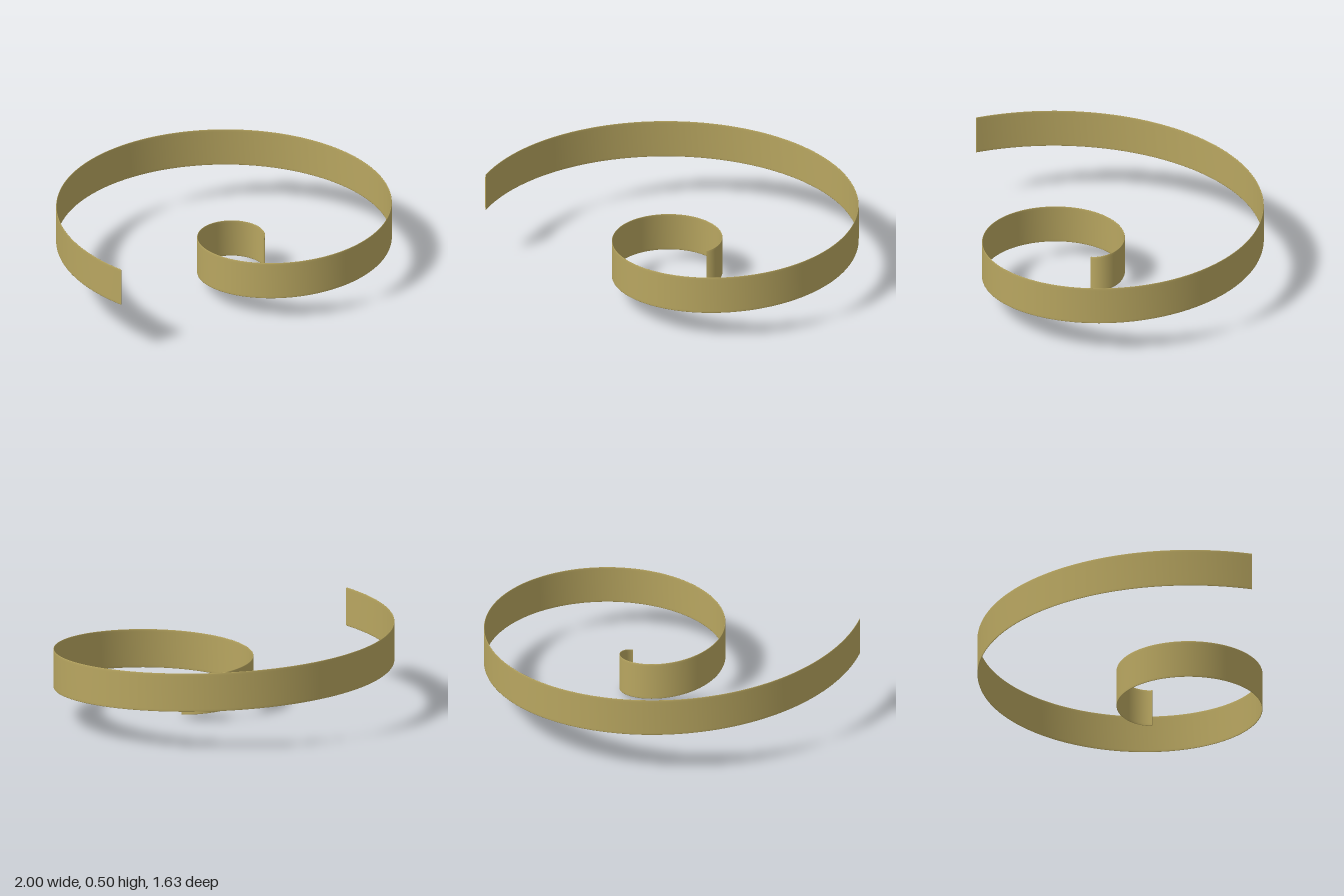
import * as THREE from 'three';

// Rising Archimedean spiral
const CENTER_X = 0.187, CENTER_Z = 0.1895;
const START_RADIUS = 0.0372, GROWTH = 0.122; // radius = START_RADIUS + GROWTH * angle
const TURN = Math.PI * 3, RISE = 0.289;
const HEIGHT = 0.209, HALF_THICKNESS = 0.002;
const STEPS = 300;

// Cross-section of the band as [outward, up], counter-clockwise, with softened edges
function bandSection() {
  const side = [[0.4, 0], [0.9, 0.003], [1, 0.014], [1, HEIGHT - 0.014], [0.9, HEIGHT - 0.003], [0.4, HEIGHT]];
  const outer = side.map(([u, y]) => [u * HALF_THICKNESS, y]);
  const inner = side.map(([u, y]) => [-u * HALF_THICKNESS, y]).reverse();
  return [...outer, ...inner];
}

function spiralBandGeometry() {
  const section = bandSection();
  const n = section.length;
  const positions = [], indices = [];

  function addRing(t) {
    const r = START_RADIUS + GROWTH * t;
    const c = Math.cos(t), s = Math.sin(t);
    const dx = GROWTH * c - r * s, dz = -GROWTH * s - r * c;
    const len = Math.hypot(dx, dz);
    for (const [u, y] of section) {
      positions.push(
        CENTER_X + r * c - (dz / len) * u,
        (RISE * t) / TURN + y,
        CENTER_Z - r * s + (dx / len) * u
      );
    }
  }

  // Skin swept along the spiral
  for (let i = 0; i <= STEPS; i++) addRing((TURN * i) / STEPS);
  for (let i = 0; i < STEPS; i++) {
    for (let j = 0; j < n; j++) {
      const a = i * n + j, b = i * n + ((j + 1) % n);
      indices.push(a, a + n, b, a + n, b + n, b);
    }
  }

  // Flat end caps on their own vertices
  for (const t of [0, TURN]) {
    const base = positions.length / 3;
    addRing(t);
    for (let j = 1; j < n - 1; j++) {
      if (t === 0) indices.push(base, base + j, base + j + 1);
      else indices.push(base, base + j + 1, base + j);
    }
  }

  const geometry = new THREE.BufferGeometry();
  geometry.setAttribute('position', new THREE.Float32BufferAttribute(positions, 3));
  geometry.setIndex(indices);
  geometry.computeVertexNormals();
  return geometry;
}

export function createModel() {
  const brass = new THREE.MeshStandardMaterial({ color: 0xb8a660 });
  brass.name = 'brass';

  const band = new THREE.Mesh(spiralBandGeometry(), brass);
  band.name = 'spiralBand';

  const model = new THREE.Group();
  model.name = 'risingSpiral';
  model.add(band);
  return model;
}
